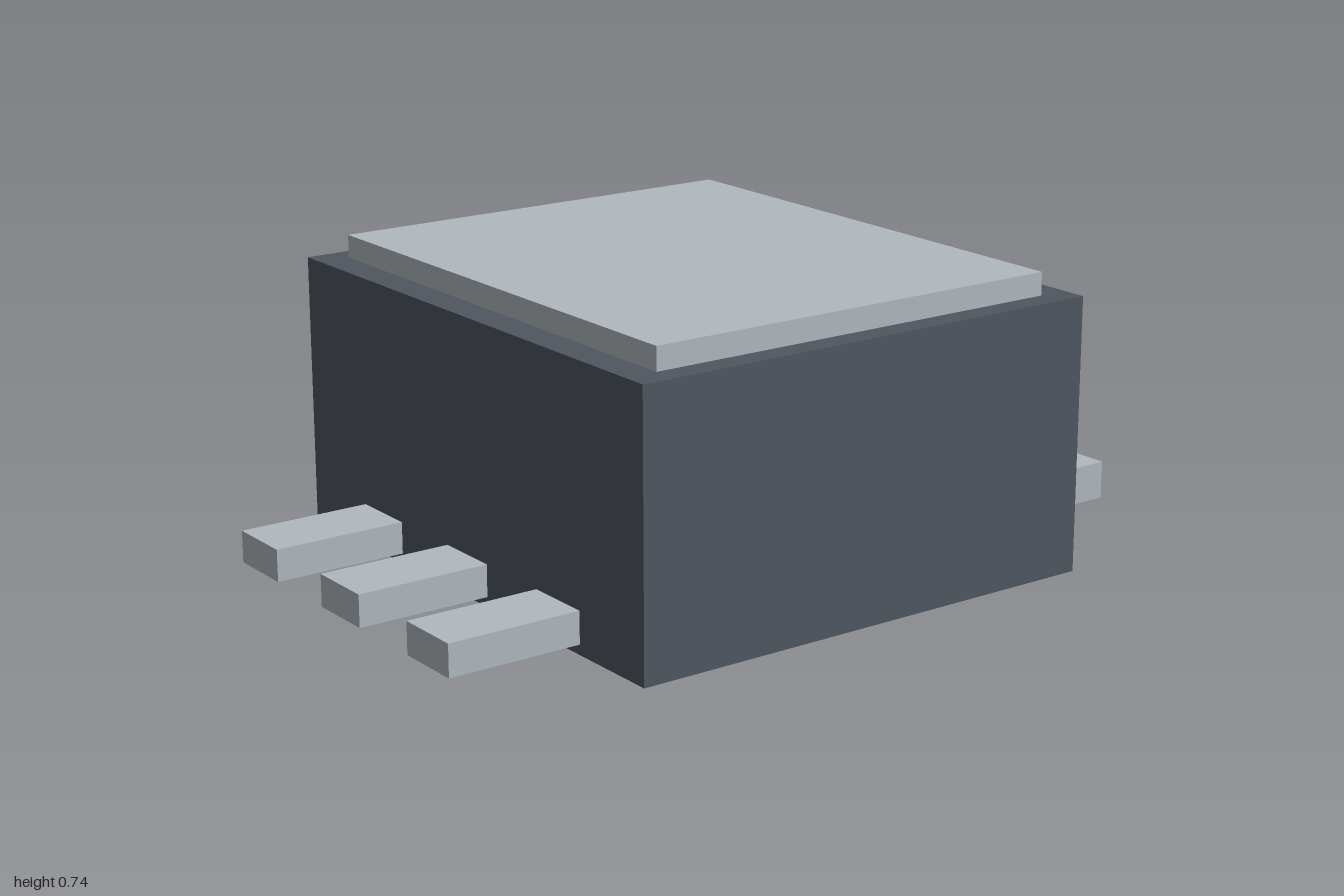
import * as THREE from 'three';

const bodyGrey = new THREE.MeshStandardMaterial({ color: 0x50575f });
bodyGrey.name = 'dark grey body';
const metalGrey = new THREE.MeshStandardMaterial({ color: 0xb0b8be });
metalGrey.name = 'light grey metal';

// Box given by its lower and upper limits on each axis
function block(name, material, [x0, x1], [y0, y1], [z0, z1]) {
  const mesh = new THREE.Mesh(new THREE.BoxGeometry(x1 - x0, y1 - y0, z1 - z0), material);
  mesh.position.set((x0 + x1) / 2, (y0 + y1) / 2, (z0 + z1) / 2);
  mesh.name = name;
  return mesh;
}

export function createModel() {
  const model = new THREE.Group();
  model.name = 'electronicComponent';

  // Housing with a raised plate on top
  model.add(block('body', bodyGrey, [-0.71, 0.71], [0, 0.68], [-0.603, 0.66]));
  model.add(block('topPlate', metalGrey, [-0.648, 0.648], [0.68, 0.737], [-0.528, 0.58]));

  // Wide tab at the back
  model.add(block('backTab', metalGrey, [-0.396, 0.396], [0.025, 0.121], [-1, -0.603]));

  // Three leads at the front
  const leads = new THREE.Group();
  leads.name = 'frontLeads';
  for (const x of [-0.379, 0, 0.379]) {
    leads.add(block('lead', metalGrey, [x - 0.086, x + 0.086], [0.025, 0.105], [0.66, 1]));
  }
  model.add(leads);

  return model;
}
